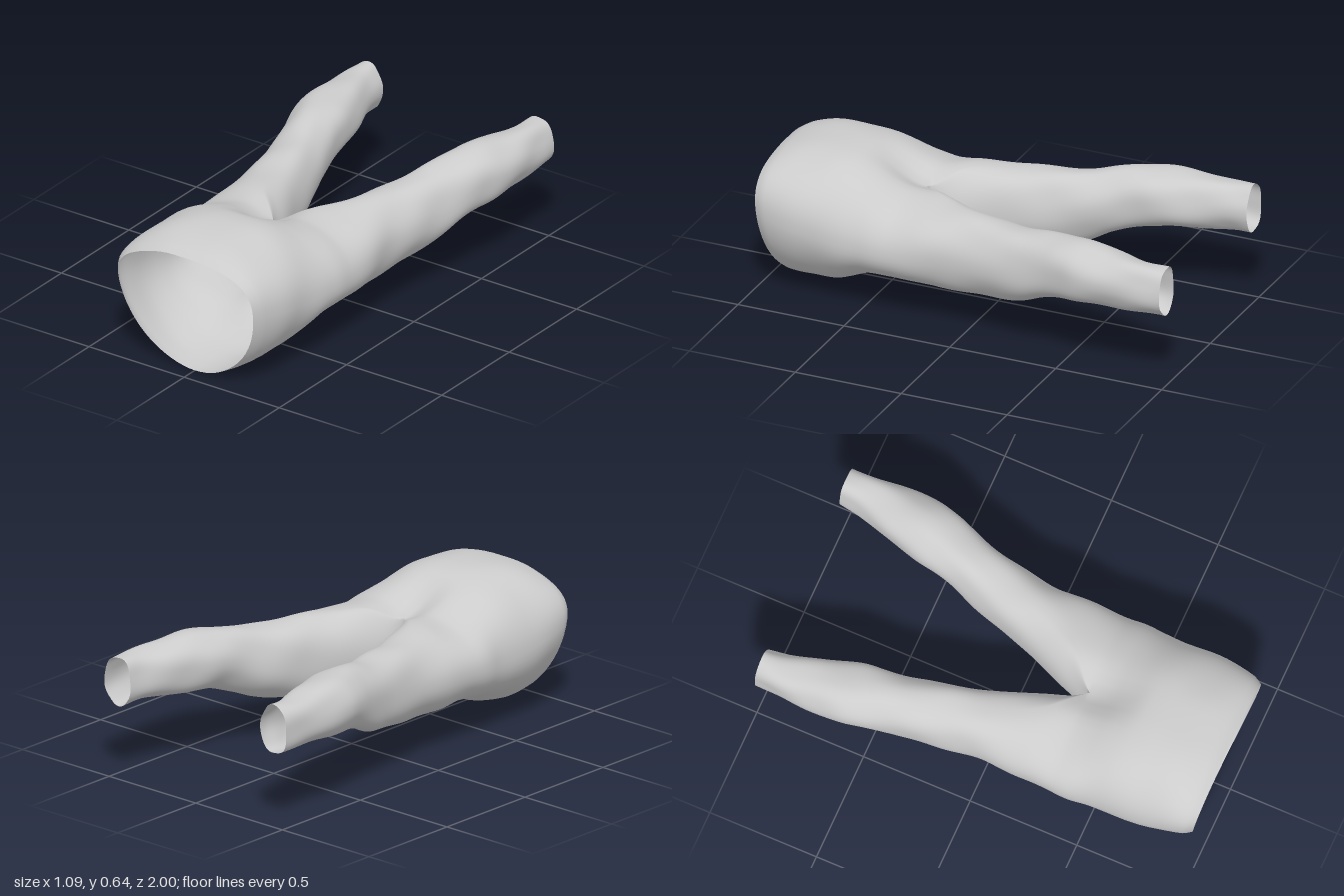
import * as THREE from 'three';
import { mergeVertices } from 'three/addons/utils/BufferGeometryUtils.js';

const { smoothstep, clamp, lerp } = THREE.MathUtils;
const CROTCH = 0.34;

// Cross-sections of one half, waist to cuff: z, inner x, apex x, outer x, bottom y, widest y, top y
const SECTIONS = [
  [1.00, 0, 0, 0.355, 0.0, 0.39, 0.58],
  [0.96, 0, 0, 0.38, 0.0, 0.38, 0.605],
  [0.85, 0, 0, 0.40, 0.008, 0.36, 0.632],
  [0.70, 0, 0, 0.405, 0.03, 0.34, 0.642],
  [0.60, 0, 0, 0.41, 0.065, 0.33, 0.63],
  [0.50, 0, 0, 0.415, 0.105, 0.33, 0.60],
  [0.42, 0, 0, 0.425, 0.12, 0.33, 0.57],
  [0.34, 0, 0, 0.425, 0.13, 0.33, 0.548],
  [0.20, 0.035, 0.155, 0.42, 0.15, 0.34, 0.535],
  [0.00, 0.115, 0.25, 0.41, 0.175, 0.35, 0.53],
  [-0.20, 0.175, 0.30, 0.44, 0.20, 0.37, 0.535],
  [-0.30, 0.205, 0.33, 0.46, 0.225, 0.385, 0.542],
  [-0.40, 0.235, 0.36, 0.485, 0.27, 0.41, 0.56],
  [-0.50, 0.255, 0.385, 0.515, 0.305, 0.44, 0.575],
  [-0.60, 0.27, 0.40, 0.54, 0.318, 0.45, 0.58],
  [-0.75, 0.31, 0.425, 0.54, 0.33, 0.45, 0.57],
  [-0.90, 0.36, 0.45, 0.532, 0.34, 0.45, 0.56],
  [-1.00, 0.375, 0.45, 0.525, 0.34, 0.45, 0.56],
];

// Smooth interpolation between the cross-sections
function sectionAt(z) {
  let i = 0;
  while (i < SECTIONS.length - 2 && z < SECTIONS[i + 1][0]) i++;
  const a = SECTIONS[i], b = SECTIONS[i + 1];
  const p = SECTIONS[Math.max(i - 1, 0)], n = SECTIONS[Math.min(i + 2, SECTIONS.length - 1)];
  const d = b[0] - a[0], t = (z - a[0]) / d;
  return a.map((v, k) => {
    const m0 = (b[k] - p[k]) / (b[0] - p[0]) * d;
    const m1 = (n[k] - v) / (n[0] - a[0]) * d;
    const t2 = t * t, t3 = t2 * t;
    const s = v * (2 * t3 - 3 * t2 + 1) + m0 * (t3 - 2 * t2 + t) + b[k] * (3 * t2 - 2 * t3) + m1 * (t3 - t2);
    if (k !== 1 && k !== 2) return s;
    return z >= CROTCH - 1e-6 ? 0 : Math.max(s, 0);
  });
}

const signedPow = (v, e) => Math.sign(v) * Math.pow(Math.abs(v), e);

// A point on one half: angle runs from the top, round the outside, to the bottom and back up the inside
function pointAt(z, angle, side) {
  const [, xIn, cx, xOut, y0, ym, y1] = sectionAt(z);
  const c = Math.sin(angle), s = Math.cos(angle);
  // towards the waist the top grows flatter and the underside more pointed
  const waist = smoothstep(z, 0.5, 0.95);
  const e = s > 0 ? lerp(0.92, 0.85, waist) : lerp(0.92, 1.08, waist);
  let x = cx + signedPow(c, e) * (c > 0 ? xOut - cx : cx - xIn);
  let y = ym + signedPow(s, e) * (s > 0 ? y1 - ym : ym - y0);

  // soft cloth folds, faded out on the centre line
  const fold = 0.0025 * smoothstep(x, 0.02, 0.2)
    * (Math.sin(9 * z + 5 * angle + side) + Math.sin(21 * z - 3 * angle + 2 * side));
  x += fold * c;
  y += fold * s;

  // cleft that deepens towards the crotch and rounds the saddle between the legs
  const depth = z > CROTCH
    ? lerp(0.01, 0.3, 1 - smoothstep(z, CROTCH, 0.62))
    : 0.3 * smoothstep(z, 0.05, CROTCH);
  y = ym + (y - ym) * (1 - depth * Math.exp(-((x / 0.09) ** 2)));

  // the waist opening leans back towards its lower edge
  const lean = 0.08 * Math.pow(clamp((0.58 - y) / 0.58, 0, 1), 1.5) * smoothstep(z, 0.55, 1);
  return [side * x, y, z - lean];
}

function trousersGeometry() {
  const N = 64, TRUNK = 36, LEG = 72;
  const rings = [];
  for (let i = 0; i <= TRUNK; i++) rings.push(1 - (1 - CROTCH) * i / TRUNK);
  for (let i = 1; i <= LEG; i++) rings.push(CROTCH - (1 + CROTCH) * i / LEG);

  const positions = [], index = [];
  for (const side of [1, -1]) {
    const base = positions.length / 3;
    for (const z of rings) {
      for (let j = 0; j <= N; j++) positions.push(...pointAt(z, j / N * Math.PI * 2, side));
    }
    for (let i = 0; i < rings.length - 1; i++) {
      // above the crotch only the outer half exists, so the two sides share one hollow
      const columns = i < TRUNK ? N / 2 : N;
      for (let j = 0; j < columns; j++) {
        const a = base + i * (N + 1) + j, b = a + 1, c = a + N + 1, d = c + 1;
        if (side > 0) index.push(a, b, c, b, d, c);
        else index.push(a, c, b, b, c, d);
      }
    }
  }
  const geometry = new THREE.BufferGeometry();
  geometry.setAttribute('position', new THREE.Float32BufferAttribute(positions, 3));
  geometry.setIndex(index);
  const merged = mergeVertices(geometry, 1e-4);
  merged.computeVertexNormals();
  return merged;
}

export function createModel() {
  const group = new THREE.Group();
  group.name = 'trousers';
  const material = new THREE.MeshStandardMaterial({ color: 0xcccccc, side: THREE.DoubleSide });

  // One continuous cloth: waist, seat and both legs, open at waist and cuffs
  const cloth = new THREE.Mesh(trousersGeometry(), material);
  cloth.name = 'trouserCloth';
  group.add(cloth);
  return group;
}
